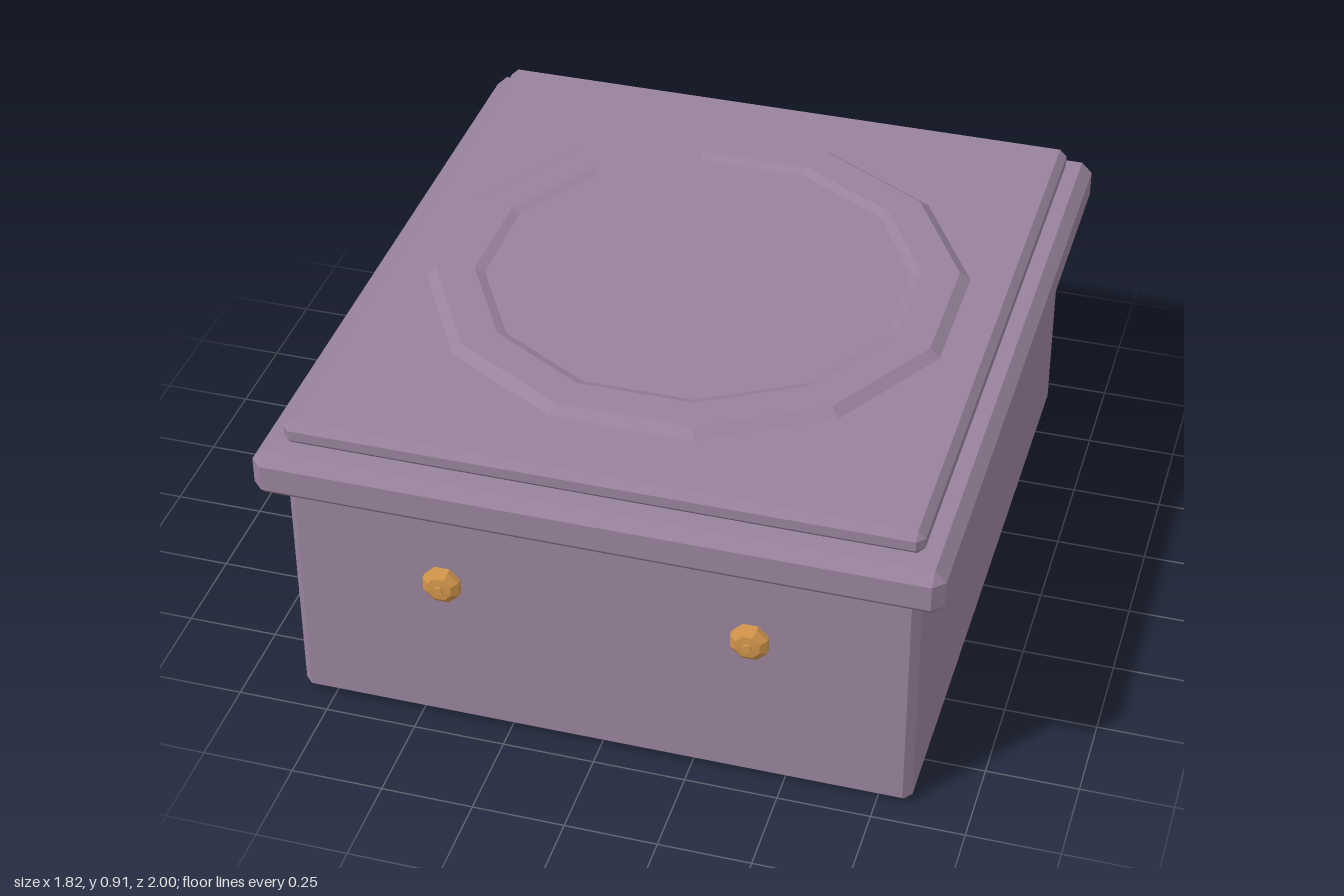
import * as THREE from 'three';
import { ConvexGeometry } from 'three/addons/geometries/ConvexGeometry.js';

// Box with every edge chamfered by c, spanning y0..y1
function chamferBox(hx, y0, y1, hz, c) {
  const hy = (y1 - y0) / 2, pts = [];
  for (const sx of [-1, 1]) for (const sy of [-1, 1]) for (const sz of [-1, 1]) {
    for (const [a, b, d] of [[0, c, c], [c, 0, c], [c, c, 0]]) {
      pts.push(new THREE.Vector3(sx * (hx - a), (y0 + y1) / 2 + sy * (hy - b), sz * (hz - d)));
    }
  }
  return new ConvexGeometry(pts);
}

// Faceted lathe whose flats face the axes
function facetedLathe(profile, sides) {
  const pts = profile.map(([r, y]) => new THREE.Vector2(r, y));
  return new THREE.LatheGeometry(pts, sides, Math.PI / sides);
}

export function createModel() {
  const group = new THREE.Group();
  const paint = new THREE.MeshStandardMaterial({ name: 'mauve paint', color: 0x98829c, flatShading: true });
  const brass = new THREE.MeshStandardMaterial({ name: 'brass', color: 0xd0944a, flatShading: true });

  const add = (name, geometry, material) => {
    const mesh = new THREE.Mesh(geometry, material);
    mesh.name = name;
    group.add(mesh);
    return mesh;
  };

  // Body, overhanging rim and top panel
  add('body', chamferBox(0.84, 0, 0.72, 0.933, 0.022), paint);
  add('rim', chamferBox(0.908, 0.69, 0.822, 1, 0.03), paint);
  add('topPanel', chamferBox(0.84, 0.822, 0.89, 0.933, 0.02), paint);

  // Twelve-sided raised disc with a shallow dish
  add('raisedDisc', facetedLathe([
    [0.74, 0.888], [0.708, 0.912], [0.605, 0.912], [0.578, 0.901], [0, 0.901],
  ], 12), paint);

  // Two knobs on the front
  for (const side of [-1, 1]) {
    const knob = add(side > 0 ? 'leftKnob' : 'rightKnob', facetedLathe([
      [0.025, 0], [0.025, 0.012], [0.04, 0.015], [0.053, 0.026], [0.053, 0.042],
      [0.035, 0.056], [0.012, 0.058], [0.012, 0.066], [0, 0.066],
    ], 8), brass);
    knob.rotation.x = Math.PI / 2;
    knob.position.set(side * 0.412, 0.482, 0.93);
  }
  return group;
}
